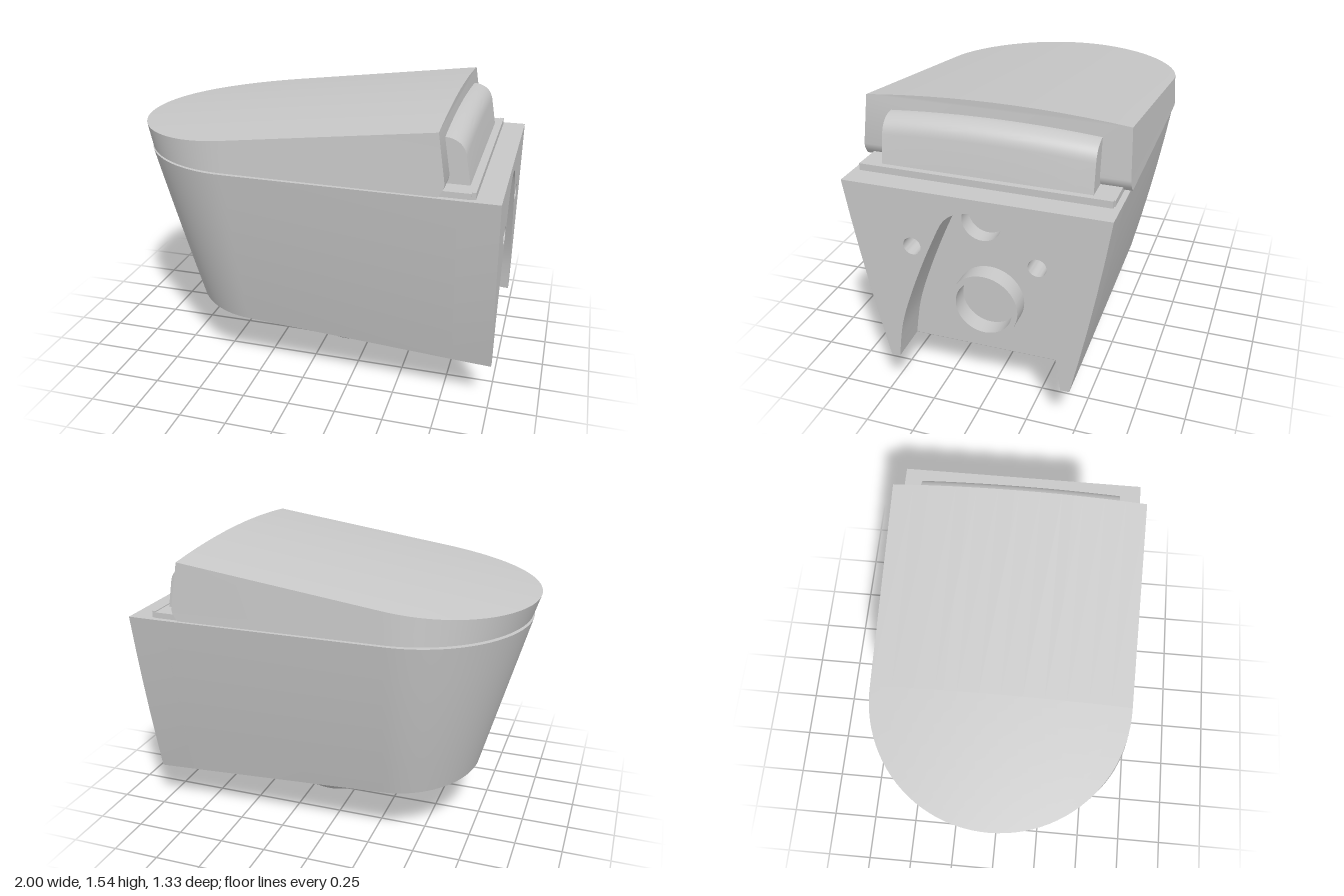
import * as THREE from 'three';
import { toCreasedNormals } from 'three/addons/utils/BufferGeometryUtils.js';

const ceramic = new THREE.MeshStandardMaterial({ color: 0xc8c8c8 });
ceramic.name = 'ceramic grey';

const lerp = THREE.MathUtils.lerp;
const SLAB_X = 0.8; // floor of the recess in the wall side
const BODY_TOP = 1.19;
const LEVELS = [0, 0.2, 0.4, 0.6, 0.8, 1];
const bodyBottom = (x) => 0.32 - 0.052 * (x + 0.73);
const bodyHalf = (v) => 0.47 + 0.183 * v + 0.04 * v * (1 - v);

function mesh(name, geometry, crease = 0.5) {
  const m = new THREE.Mesh(toCreasedNormals(geometry, crease), ceramic);
  m.name = name;
  return m;
}

// Solid with a round nose: cross-sections from the nose (t = 0) to the back,
// each ring running bottom, side, top, side. point(t, v, u): v height, u width.
function noseLoft(levels, point) {
  const half = [[0, 0], ...levels.map((v) => [v, -1])];
  for (let i = 1; i <= 6; i++) half.push([1, -1 + i / 6]);
  const ring = [...half, ...half.map(([v, u]) => [v, -u]).reverse()];
  const n = ring.length, steps = 25, pos = [], idx = [];
  for (let s = 0; s <= steps; s++) {
    for (const [v, u] of ring) pos.push(...point(s / (steps - 1), v, u));
  }
  for (let s = 0; s < steps; s++) {
    for (let k = 0; k < n; k++) {
      const a = s * n + k, b = s * n + ((k + 1) % n);
      idx.push(a, b, b + n, a, b + n, a + n);
    }
  }
  // back cap, row by row between mirrored points
  const o = steps * n;
  for (let k = 0; k < n / 2 - 1; k++) {
    const a = o + k, b = a + 1, c = o + n - 2 - k, d = c + 1;
    idx.push(a, b, c, a, c, d);
  }
  const g = new THREE.BufferGeometry();
  g.setAttribute('position', new THREE.Float32BufferAttribute(pos, 3));
  g.setIndex(idx);
  return g;
}

// Plan of the nose: elliptical up to t = 1, then straight to the back
function plan(t, front, start, back, noseHalf, backHalf) {
  if (t > 1) return [back, backHalf];
  const a = t * Math.PI / 2;
  return [start - (start - front) * Math.cos(a), noseHalf * Math.sin(a)];
}

function bowl() {
  const at = (t, v) => plan(t, lerp(-0.73, -0.97, v), lerp(-0.32, -0.36, v),
    SLAB_X, bodyHalf(v) * 0.98, bodyHalf(v));
  return mesh('bowl', noseLoft(LEVELS, (t, v, u) => {
    const [x, w] = at(t, v);
    return [x, lerp(bodyBottom(at(t, 0)[0]), BODY_TOP, v), u * w];
  }));
}

// Wall side with an arched recess and two bolt holes
function wallMount() {
  const y0 = bodyBottom(1);
  const side = LEVELS.map((v) => new THREE.Vector2(bodyHalf(v), lerp(y0, BODY_TOP, v)));
  const flip = (p) => new THREE.Vector2(-p.x, p.y);
  const arch = new THREE.SplineCurve([
    [0.425, y0], [0.392, 0.44], [0.318, 0.665], [0.208, 0.93], [0.127, 1.073], [0, 1.118],
    [-0.127, 1.073], [-0.208, 0.93], [-0.318, 0.665], [-0.392, 0.44], [-0.425, y0],
  ].map(([x, y]) => new THREE.Vector2(x, y))).getPoints(50);
  const shape = new THREE.Shape([...side, ...side.map(flip).reverse(), ...arch.reverse()]);
  for (const s of [-1, 1]) {
    shape.holes.push(new THREE.Path().absarc(s * 0.31, 0.895, 0.045, 0, Math.PI * 2, true));
  }
  const g = new THREE.ExtrudeGeometry(shape, { depth: 1 - SLAB_X, bevelEnabled: false, curveSegments: 16 });
  g.rotateY(Math.PI / 2).translate(SLAB_X, 0, 0);
  const p = g.attributes.position;
  for (let i = 0; i < p.count; i++) {
    if (p.getY(i) < 0.3) p.setY(i, p.getY(i) + 0.052 * (1 - p.getX(i)));
  }
  return mesh('wallMount', g);
}

// Short pipe socket pointing at the wall
function socket(name, y, outer, inner, end) {
  const profile = [[outer, SLAB_X], [outer, end], [inner, end], [inner, SLAB_X + 0.005], [0, SLAB_X + 0.005]];
  const g = new THREE.LatheGeometry(profile.map(([r, h]) => new THREE.Vector2(r, h)), 40);
  g.rotateZ(-Math.PI / 2).translate(0, y, 0);
  return mesh(name, g);
}

// Rounded trap hanging below the bowl
function trap() {
  const g = new THREE.SphereGeometry(1, 40, 16, 0, Math.PI * 2, Math.PI / 2, Math.PI / 2);
  const p = g.attributes.position;
  for (let i = 0; i < p.count; i++) {
    const y = p.getY(i);
    p.setXYZ(i, 0.13 + 0.05 * (1 + y) + 0.325 * p.getX(i), 0.3 + 0.3 * y, 0.187 * p.getZ(i));
  }
  return mesh('trap', g, 0.8);
}

function lid() {
  const back = (v) => (v < 0.2 ? 0.71 + 0.03 * Math.sin(v / 0.2 * Math.PI / 2) : lerp(0.74, 0.7, (v - 0.2) / 0.8));
  const at = (t, v) => plan(t, lerp(-0.965, -1, v), -0.35, back(v), lerp(0.65, 0.64, v), lerp(0.667, 0.652, v));
  return mesh('lid', noseLoft([0, 0.07, 0.13, 0.2, 1], (t, v, u) => {
    const [x, w] = at(t, v), [tx, tw] = at(t, 1);
    const top = lerp(1.315, 1.54, (tx + 1) / 1.7) - 0.035 * (u * tw / 0.65) ** 2;
    return [x, lerp(1.203, top, v), u * w];
  }));
}

// Hinge housing with a gently crowned top
function hingeHousing() {
  const s = new THREE.Shape();
  s.moveTo(0.69, 1.22);
  s.lineTo(0.84, 1.22);
  s.lineTo(0.815, 1.38);
  s.quadraticCurveTo(0.8, 1.455, 0.72, 1.465);
  s.lineTo(0.69, 1.465);
  const g = new THREE.ExtrudeGeometry(s, { depth: 1.04, steps: 12, bevelEnabled: false });
  g.translate(0, 0, -0.52);
  const p = g.attributes.position;
  for (let i = 0; i < p.count; i++) {
    if (p.getY(i) > 1.3) p.setY(i, p.getY(i) - 0.02 * (p.getZ(i) / 0.52) ** 2);
  }
  return mesh('hingeHousing', g);
}

function box(name, x0, x1, y0, y1, depth) {
  const g = new THREE.BoxGeometry(x1 - x0, y1 - y0, depth);
  g.translate((x0 + x1) / 2, (y0 + y1) / 2, 0);
  return mesh(name, g);
}

export function createModel() {
  const model = new THREE.Group();
  model.name = 'wallHungToilet';
  model.add(
    bowl(),
    wallMount(),
    socket('drainSocket', 0.55, 0.175, 0.147, 0.9),
    socket('waterInlet', 1.02, 0.132, 0.1, 0.89),
    trap(),
    lid(),
    hingeHousing(),
    box('hingePlate', 0.53, 0.86, 1.185, 1.22, 1.25),
    box('hingePlateLip', 0.86, 0.88, 1.185, 1.225, 1.24),
  );
  return model;
}
